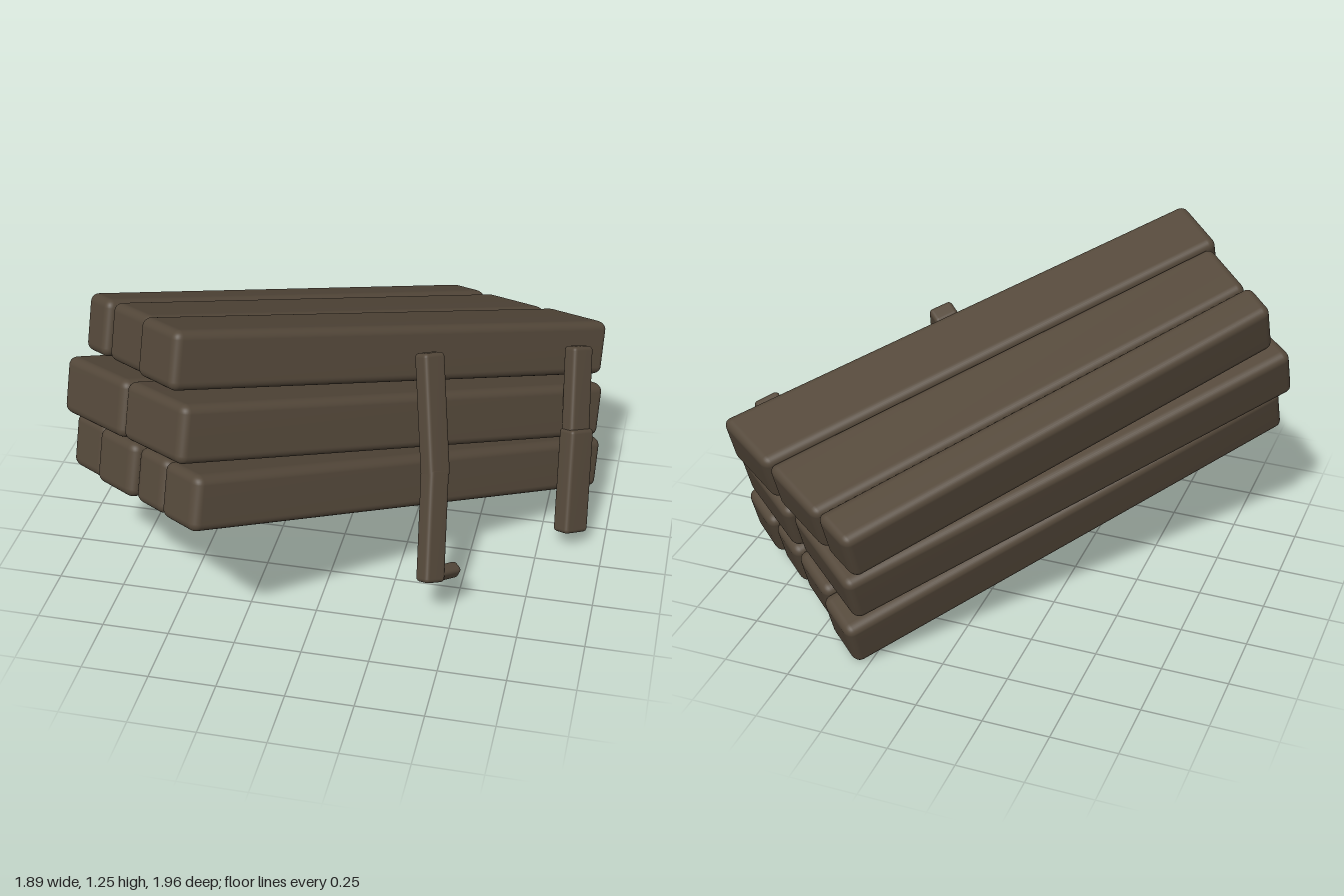
import * as THREE from 'three';
import { RoundedBoxGeometry } from 'three/addons/geometries/RoundedBoxGeometry.js';
import { mergeVertices } from 'three/addons/utils/BufferGeometryUtils.js';

const V = (x, y, z) => new THREE.Vector3(x, y, z);
const wood = new THREE.MeshStandardMaterial({ color: 0x54483a });
wood.name = 'dark wood';

const along = V(0.667, -0.269, -0.694).normalize(); // length of the stack
const up = V(0.026, 0.94, -0.339).normalize();      // normal of the stacked layers

function smooth(geo) {
  geo.deleteAttribute('normal');
  geo.deleteAttribute('uv');
  const merged = mergeVertices(geo, 1e-5);
  merged.computeVertexNormals();
  return merged;
}

// Rounded plank bent to fit a slice of a layer's four top corners
function plank(layer, t0, t1, inset0, inset1, drop) {
  const [a, b, c, d] = layer.corners;
  const L = 1.9, T = layer.thick, W = 0.68 * (t1 - t0);
  const geo = new RoundedBoxGeometry(L, T, W, 4, 0.032);
  const pos = geo.attributes.position;
  for (let i = 0; i < pos.count; i++) {
    const s = THREE.MathUtils.lerp(inset0, 1 - inset1, pos.getX(i) / L + 0.5);
    const t = THREE.MathUtils.lerp(t0, t1, 0.5 - pos.getZ(i) / W);
    const right = a.clone().lerp(b, s);
    const left = d.clone().lerp(c, s);
    const p = right.lerp(left, t).addScaledVector(up, pos.getY(i) - T / 2 - drop);
    pos.setXYZ(i, p.x, p.y, p.z);
  }
  return new THREE.Mesh(smooth(geo), wood);
}

// Rounded batten between two points, its wide side facing out of the stack
function batten(from, to, wide, thin) {
  const y = to.clone().sub(from);
  const len = y.length();
  y.normalize();
  const x = along.clone().addScaledVector(y, -along.dot(y)).normalize();
  const z = x.clone().cross(y);
  const geo = new RoundedBoxGeometry(wide, len, thin, 3, 0.016);
  geo.applyMatrix4(new THREE.Matrix4().makeBasis(x, y, z).setPosition(from.clone().lerp(to, 0.5)));
  return new THREE.Mesh(smooth(geo), wood);
}

export function createModel() {
  const model = new THREE.Group();
  model.name = 'plankStack';

  // Layers: top corners (near right, far right, far left, near left) and cuts across the width
  const layers = [
    { name: 'topLayer', thick: 0.21, cuts: [0, 0.38, 0.77, 1],
      corners: [V(-0.42, 1.275, 0.72), V(0.93, 0.755, -0.58), V(0.26, 0.625, -1.01), V(-0.9, 1.13, 0.27)] },
    { name: 'middleLayer', thick: 0.21, cuts: [0, 0.48, 1],
      corners: [V(-0.37, 1.055, 0.83), V(0.94, 0.545, -0.46), V(0.29, 0.41, -0.97), V(-0.96, 0.91, 0.35)] },
    { name: 'bottomLayer', thick: 0.2, cuts: [0, 0.25, 0.47, 0.75, 1],
      corners: [V(-0.3, 0.85, 0.94), V(0.95, 0.335, -0.4), V(0.3, 0.185, -0.93), V(-0.94, 0.72, 0.43)] },
  ];
  layers.forEach((layer, k) => {
    const group = new THREE.Group();
    group.name = layer.name;
    for (let i = 0; i + 1 < layer.cuts.length; i++) {
      // slightly uneven plank ends and heights
      const jag = 0.008 * ((i * 2 + k) % 3);
      const mesh = plank(layer, layer.cuts[i], layer.cuts[i + 1], i ? jag : 0, i ? 0.012 - jag / 2 : 0, i % 2 ? 0.004 : 0);
      mesh.name = 'plank' + (i + 1);
      group.add(mesh);
    }
    model.add(group);
  });

  // Battens leaning on the right side
  const parts = [
    ['frontBattenUpper', V(0.34, 0.955, 0.135), V(0.405, 0.55, 0.325), 0.095, 0.07],
    ['frontBattenLower', V(0.4, 0.585, 0.31), V(0.425, 0.21, 0.5), 0.09, 0.07],
    ['frontBattenFoot', V(0.43, 0.235, 0.49), V(0.505, 0.205, 0.395), 0.05, 0.05],
    ['rearBattenUpper', V(0.83, 0.745, -0.39), V(0.855, 0.4, -0.23), 0.1, 0.065],
    ['rearBattenLower', V(0.855, 0.46, -0.255), V(0.87, 0.085, -0.1), 0.115, 0.08],
  ];
  for (const [name, from, to, wide, thin] of parts) {
    const mesh = batten(from, to, wide, thin);
    mesh.name = name;
    model.add(mesh);
  }
  return model;
}
